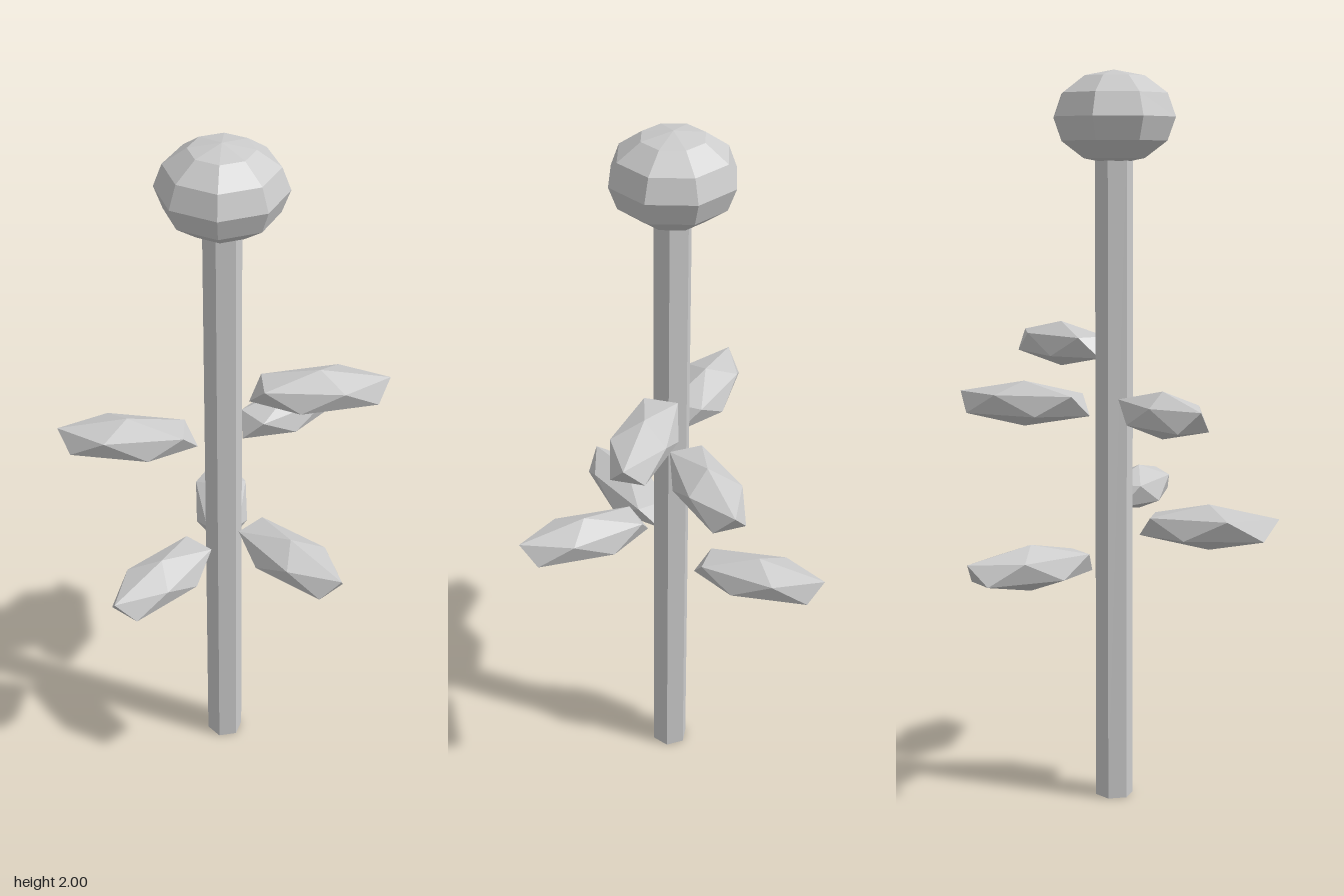
import * as THREE from 'three';

const AXIS_Z = -0.05; // the stem stands slightly behind the centre

export function createModel() {
  const group = new THREE.Group();
  const material = new THREE.MeshStandardMaterial({ color: 0xcccccc, flatShading: true });

  const add = (name, geometry, x, y, z) => {
    const mesh = new THREE.Mesh(geometry, material);
    mesh.name = name;
    mesh.position.set(x, y, z);
    group.add(mesh);
    return mesh;
  };

  // Six-sided stem
  const stemHeight = 1.8;
  add('stem', new THREE.CylinderGeometry(0.052, 0.052, stemHeight, 6), 0, stemHeight / 2, AXIS_Z);

  // Flattened faceted flower head
  const head = new THREE.SphereGeometry(1, 8, 6);
  head.scale(0.173, 0.125, 0.173);
  add('flowerHead', head, 0, 1.875, AXIS_Z);

  // Leaf: icosahedron turned so a corner points up, then stretched outwards along z
  const leaf = new THREE.IcosahedronGeometry(1, 0);
  leaf.rotateX(-Math.atan((1 + Math.sqrt(5)) / 2));
  leaf.scale(0.088, 0.063, 0.215);

  // Leaves placed around the stem: [angle from +x towards +z in degrees, height]
  const leaves = [[36.5, 1.25], [0, 1.095], [222.5, 1.102], [87, 0.832], [171.5, 0.77], [309.5, 0.677]];
  const reach = 0.263;
  leaves.forEach(([degrees, y], i) => {
    const a = THREE.MathUtils.degToRad(degrees);
    const mesh = add(`leaf${i + 1}`, leaf, Math.cos(a) * reach, y, AXIS_Z + Math.sin(a) * reach);
    mesh.rotation.y = Math.PI / 2 - a;
  });

  return group;
}
